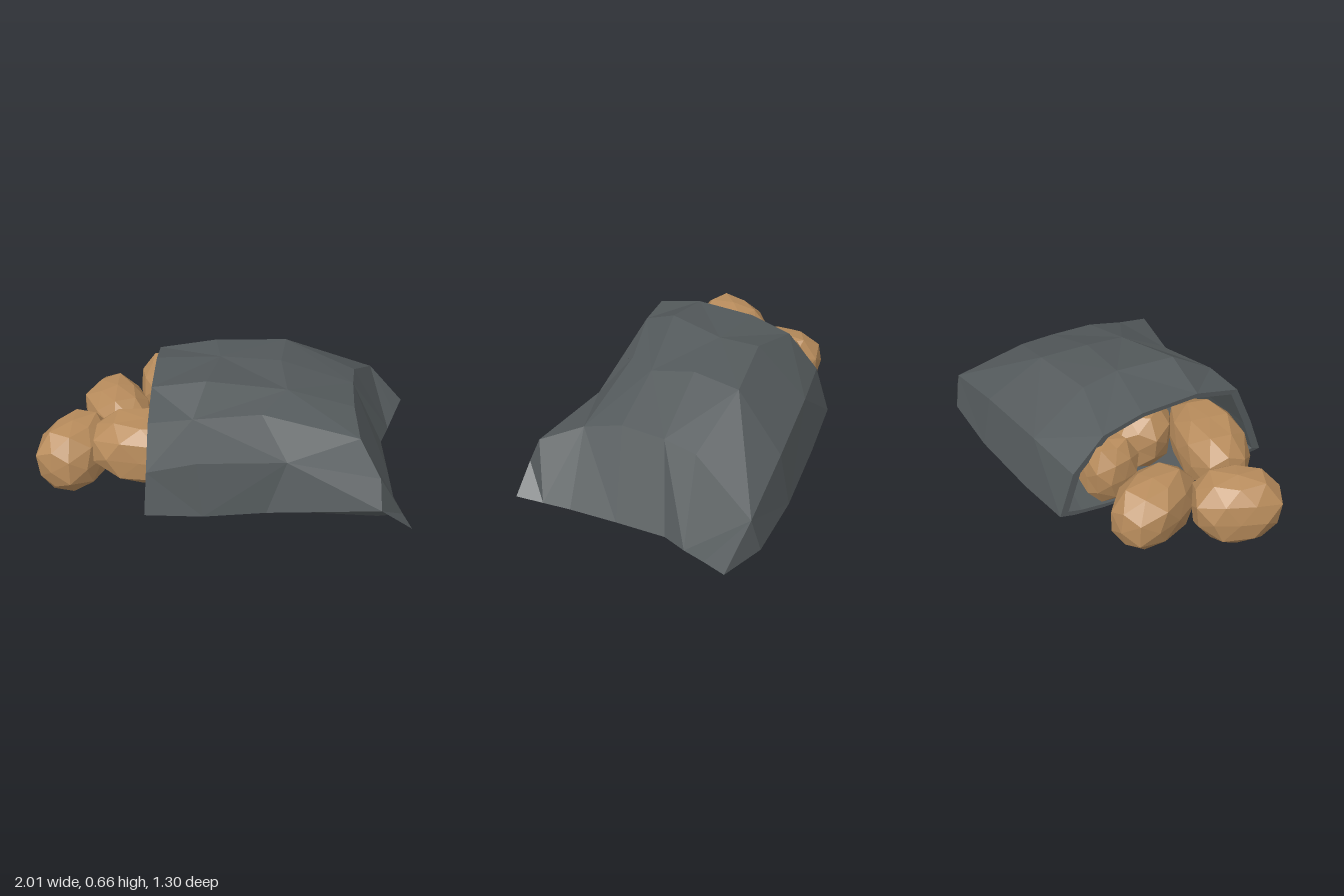
import * as THREE from 'three';
import { mergeVertices } from 'three/addons/utils/BufferGeometryUtils.js';

// Upper outline of each sack cross-section, from the +z edge over the top to the -z edge
const OUTLINES = [
  [[-.41, .12, .65], [-.4, .33, .58], [-.39, .56, .485], [-.39, .62, .24], [-.39, .61, -.08], [-.39, .55, -.3], [-.39, .37, -.47], [-.39, .12, -.55]],
  [[-.12, .07, .59], [-.15, .36, .54], [-.17, .57, .46], [-.11, .67, .26], [-.05, .645, -.04], [-.08, .63, -.25], [-.06, .39, -.53], [-.05, .08, -.59]],
  [[.2, .07, .55], [.3, .35, .505], [.17, .54, .36], [.3, .58, .18], [.27, .62, -.05], [.3, .605, -.31], [.4, .36, -.585], [.4, .07, -.64]],
  [[.77, .17, .65], [.76, .32, .585], [.67, .41, .37], [.65, .47, .16], [.66, .47, -.08], [.68, .45, -.26], [.81, .27, -.61], [.78, .08, -.65]],
  [[.93, .055, .64], [.9, .04, .5], [.87, .025, .36], [.86, .03, .1], [.85, .03, -.17], [.9, .035, -.3], [.95, .055, -.43], [1, .07, -.56]],
];
// Underside height of each section; the last one is pinched shut into a seam
const FLOOR = [.08, .03, .025, .01];

// Joins closed rings into flat-shaded skin, with a fan closing the first ring
function loft(rings) {
  const pos = [];
  const tri = (...points) => points.forEach((p) => pos.push(...p));
  const first = rings[0], n = first.length;
  const centre = [0, 1, 2].map((k) => first.reduce((sum, p) => sum + p[k], 0) / n);
  for (let i = 0; i < n; i++) {
    const j = (i + 1) % n;
    for (let s = 0; s < rings.length - 1; s++) {
      const a = rings[s][i], b = rings[s + 1][i], c = rings[s + 1][j], d = rings[s][j];
      if ((s + i) % 2) { tri(a, b, c); tri(a, c, d); } else { tri(a, b, d); tri(b, c, d); }
    }
    tri(centre, first[i], first[j]);
  }
  const g = new THREE.BufferGeometry();
  g.setAttribute('position', new THREE.Float32BufferAttribute(pos, 3));
  g.computeVertexNormals();
  return g;
}

// Sack with a thick rim, a hollow mouth at -x and a pinched end at +x
function sackGeometry() {
  const outer = OUTLINES.map((points, s) => {
    const under = [6, 5, 4, 3, 2, 1].map((i) => {
      const [x, y, z] = points[i];
      if (s === FLOOR.length) return [x, y, z];
      const edge = i === 6 ? points[7][1] : i === 1 ? points[0][1] : FLOOR[s];
      return [x, (edge + FLOOR[s]) / 2, z];
    });
    return [...points, ...under];
  });
  const shrink = (k, dx) => outer[0].map(([x, y, z]) => [x + dx, .32 + (y - .32) * k, .04 + (z - .04) * k]);
  return loft([shrink(.8, .55), shrink(.92, 0), ...outer]);
}

// Blocky, faceted potato
function potatoGeometry(seed) {
  let g = new THREE.IcosahedronGeometry(1, 1);
  g.deleteAttribute('normal');
  g.deleteAttribute('uv');
  g = mergeVertices(g, 1e-3);
  const p = g.attributes.position;
  let state = seed * 7919;
  const random = () => (state = (state * 16807 + 11) % 2147483647) / 2147483647;
  for (let i = 0; i < p.count; i++) {
    const v = new THREE.Vector3().fromBufferAttribute(p, i);
    const cubic = Math.cbrt(Math.abs(v.x) ** 3 + Math.abs(v.y) ** 3 + Math.abs(v.z) ** 3);
    v.multiplyScalar((.95 + .11 * random()) / cubic);
    p.setXYZ(i, v.x, v.y, v.z);
  }
  g = g.toNonIndexed();
  g.computeVertexNormals();
  return g;
}

export function createModel() {
  const cloth = new THREE.MeshStandardMaterial({ color: 0x545a5c, flatShading: true });
  cloth.name = 'greyCloth';
  const skin = new THREE.MeshStandardMaterial({ color: 0xb88c5c, flatShading: true });
  skin.name = 'potatoSkin';

  const model = new THREE.Group();
  model.name = 'sackOfPotatoes';
  const sack = new THREE.Mesh(sackGeometry(), cloth);
  sack.name = 'sack';
  model.add(sack);

  // centre, half sizes (long axis last), turn about y
  const potatoes = [
    [[-.81, .215, .225], [.165, .185, .225], -.42],
    [[-.42, .3, .3], [.17, .175, .28], 1.4],
    [[-.62, .21, -.15], [.165, .18, .24], .42],
    [[-.36, .32, -.26], [.135, .18, .14], .2],
    [[-.23, .36, 0], [.16, .17, .17], 1],
  ];
  const pile = new THREE.Group();
  pile.name = 'potatoes';
  potatoes.forEach(([at, size, turn], i) => {
    const potato = new THREE.Mesh(potatoGeometry(i + 1), skin);
    potato.name = 'potato' + (i + 1);
    potato.position.set(...at);
    potato.scale.set(...size);
    potato.rotation.y = turn;
    pile.add(potato);
  });
  model.add(pile);
  return model;
}
